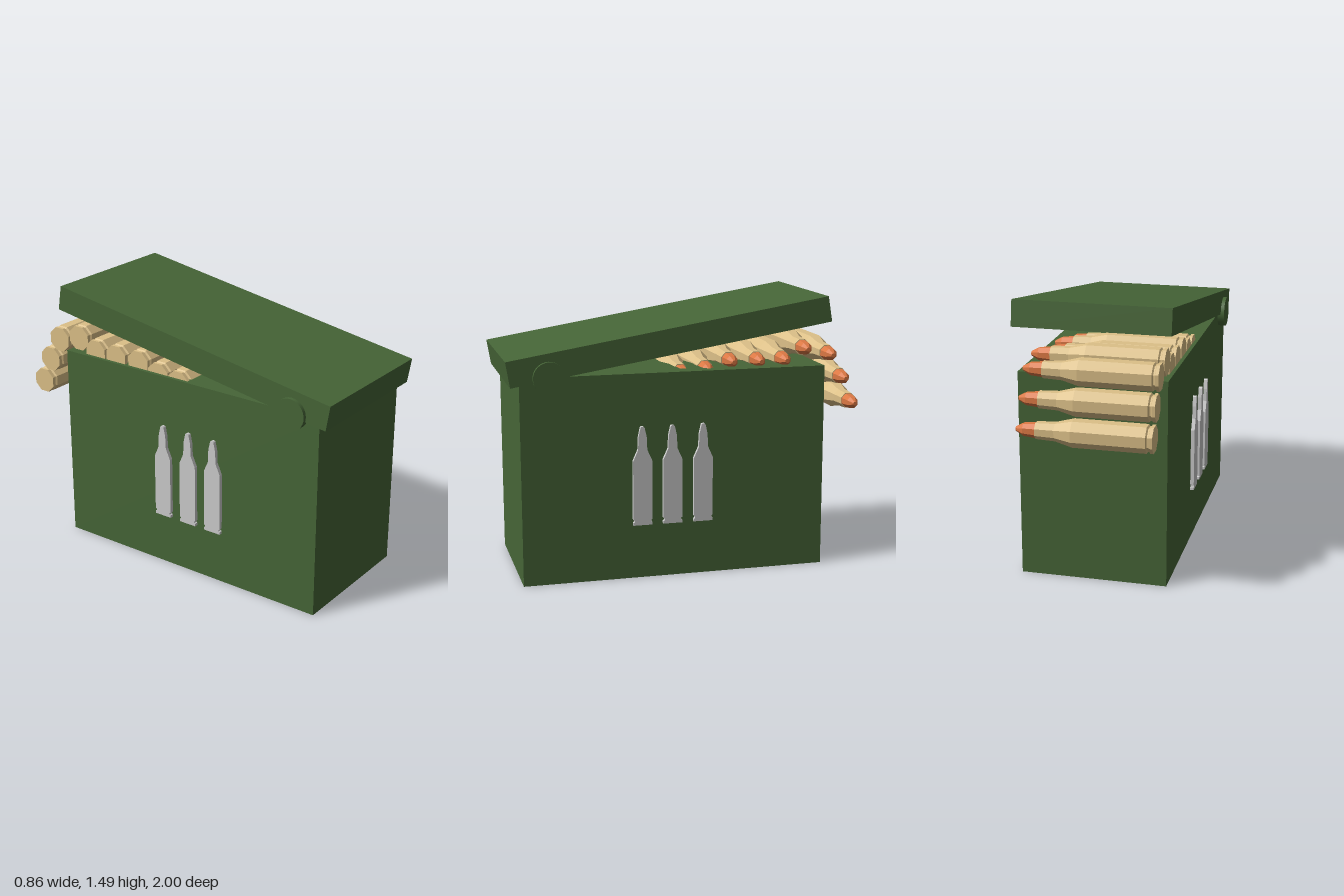
import * as THREE from 'three';

const paint = (color, flatShading = true) => new THREE.MeshStandardMaterial({ color, flatShading });

export function createModel() {
  const root = new THREE.Group();
  const green = paint(0x466537);
  const hingeGreen = paint(0x466537, false);
  const brass = paint(0xdcc088);
  const copper = paint(0xdc7844);
  const grey = paint(0xcccccc);

  const add = (parent, name, geometry, material, x = 0, y = 0, z = 0) => {
    const mesh = new THREE.Mesh(geometry, material);
    mesh.name = name;
    mesh.position.set(x, y, z);
    parent.add(mesh);
    return mesh;
  };

  // Box body and tilted lid
  add(root, 'boxBody', new THREE.BoxGeometry(0.78, 1.11, 1.655), green, 0, 0.555, 0.105);
  add(root, 'lid', new THREE.BoxGeometry(0.82, 0.138, 1.755), green, 0, 1.275, 0.125).rotation.x = 0.163;

  // Hinge pin through the lid
  const pin = new THREE.CylinderGeometry(0.085, 0.085, 0.86, 32).rotateZ(Math.PI / 2);
  add(root, 'hingePin', pin, hingeGreen, 0, 1.11, 0.78);

  // Eight-sided cartridge, lying along x with its tip towards +x
  const turned = (profile) => new THREE.LatheGeometry(
    profile.map(([r, x]) => new THREE.Vector2(r, x)), 8, Math.PI / 8
  ).rotateZ(-Math.PI / 2);
  const casing = turned([
    [0, -0.37], [0.072, -0.37], [0.072, -0.353], [0.064, -0.35], [0.064, -0.342],
    [0.073, -0.335], [0.073, 0.04], [0.049, 0.13], [0.045, 0.23], [0, 0.23],
  ]);
  const tip = turned([[0.041, 0.225], [0.034, 0.295], [0.012, 0.335], [0, 0.335]]);

  // Belt running over the top and hanging off the back: [z, y]
  const belt = [
    [0.04, 1.082], [-0.095, 1.097], [-0.23, 1.136], [-0.385, 1.133], [-0.53, 1.133],
    [-0.65, 1.19], [-0.795, 1.153], [-0.872, 1.02], [-0.929, 0.878],
  ];
  belt.forEach(([z, y]) => {
    const cartridge = new THREE.Group();
    cartridge.name = 'cartridge';
    cartridge.position.set(0, y, z);
    add(cartridge, 'casing', casing, brass);
    add(cartridge, 'bulletTip', tip, copper);
    root.add(cartridge);
  });

  // Raised cartridge silhouettes on both sides
  const half = [
    [0.052, 0.295], [0.052, 0.31], [0.045, 0.313], [0.045, 0.322], [0.052, 0.326],
    [0.052, 0.645], [0.025, 0.705], [0.022, 0.775], [0.011, 0.825], [0.006, 0.83],
  ];
  const outline = [...half, ...half.map(([w, y]) => [-w, y]).reverse()];
  const shape = new THREE.Shape(outline.map(([w, y]) => new THREE.Vector2(w, y)));
  const emblem = new THREE.ExtrudeGeometry(shape, { depth: 0.04, bevelEnabled: false })
    .translate(0, 0, -0.02).rotateY(Math.PI / 2);
  for (const side of [-1, 1]) {
    for (const z of [0.292, 0.128, -0.04]) {
      add(root, 'sideEmblem', emblem, grey, side * 0.39, 0, z);
    }
  }
  return root;
}
